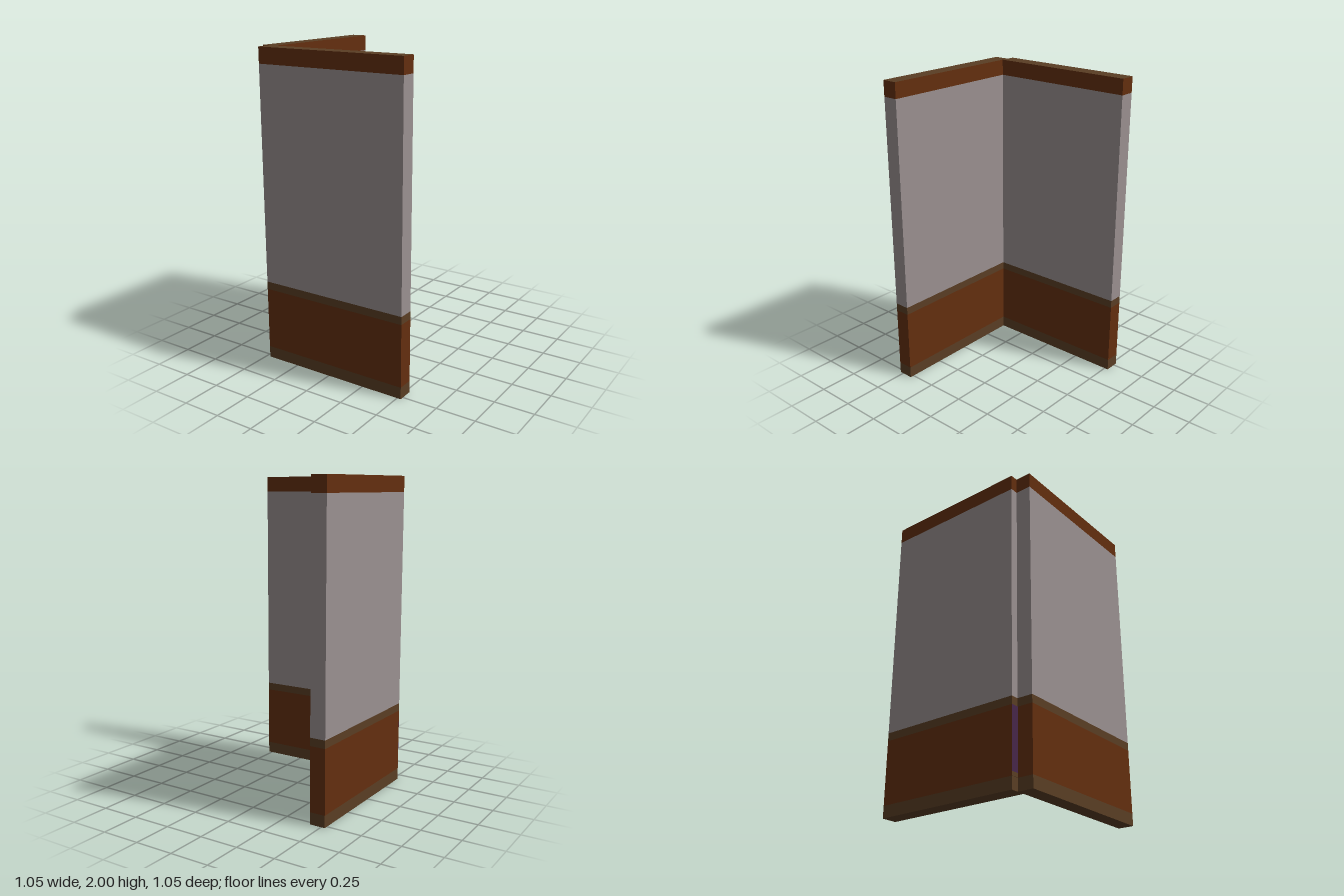
import * as THREE from 'three';

export function createModel() {
  const mat = (name, color) => {
    const m = new THREE.MeshStandardMaterial({ color });
    m.name = name;
    return m;
  };
  const brown = mat('reddish brown wood', 0x642f0f);
  const trim = mat('dark trim', 0x5a3e24);
  const plaster = mat('grey plaster', 0x9b9191);
  const purple = mat('dark purple', 0x47264a);

  const box = (parent, name, material, [x0, x1], [y0, y1], [z0, z1]) => {
    const mesh = new THREE.Mesh(new THREE.BoxGeometry(x1 - x0, y1 - y0, z1 - z0), material);
    mesh.position.set((x0 + x1) / 2, (y0 + y1) / 2, (z0 + z1) / 2);
    mesh.name = name;
    parent.add(mesh);
  };

  // Top rail is brown on its sides, trim coloured on top (face order +x -x +y -y +z -z)
  const railFaces = [brown, brown, trim, brown, brown, brown];
  const bands = [
    ['baseboard', trim, [0, 0.075]],
    ['lowerPanel', brown, [0.075, 0.475]],
    ['chairRail', trim, [0.475, 0.525]],
    ['upperPanel', plaster, [0.525, 1.9]],
    ['topRail', railFaces, [1.9, 2]],
  ];

  // Two walls meeting at an offset corner, each stacked from the same bands
  const model = new THREE.Group();
  model.name = 'cornerWall';
  const walls = [
    ['sideWall', [-0.525, -0.425], [-0.525, 0.425]],
    ['frontWall', [-0.475, 0.525], [0.425, 0.525]],
  ];
  for (const [name, xs, zs] of walls) {
    const wall = new THREE.Group();
    wall.name = name;
    for (const [part, material, ys] of bands) box(wall, part, material, xs, ys, zs);
    model.add(wall);
  }

  // Thin plates on the exposed end of the side wall
  box(model, 'endPanel', purple, [-0.525, -0.475], [0.1, 0.475], [0.425, 0.427]);
  box(model, 'endBaseStrip', trim, [-0.525, -0.475], [0.075, 0.1], [0.425, 0.427]);

  return model;
}
